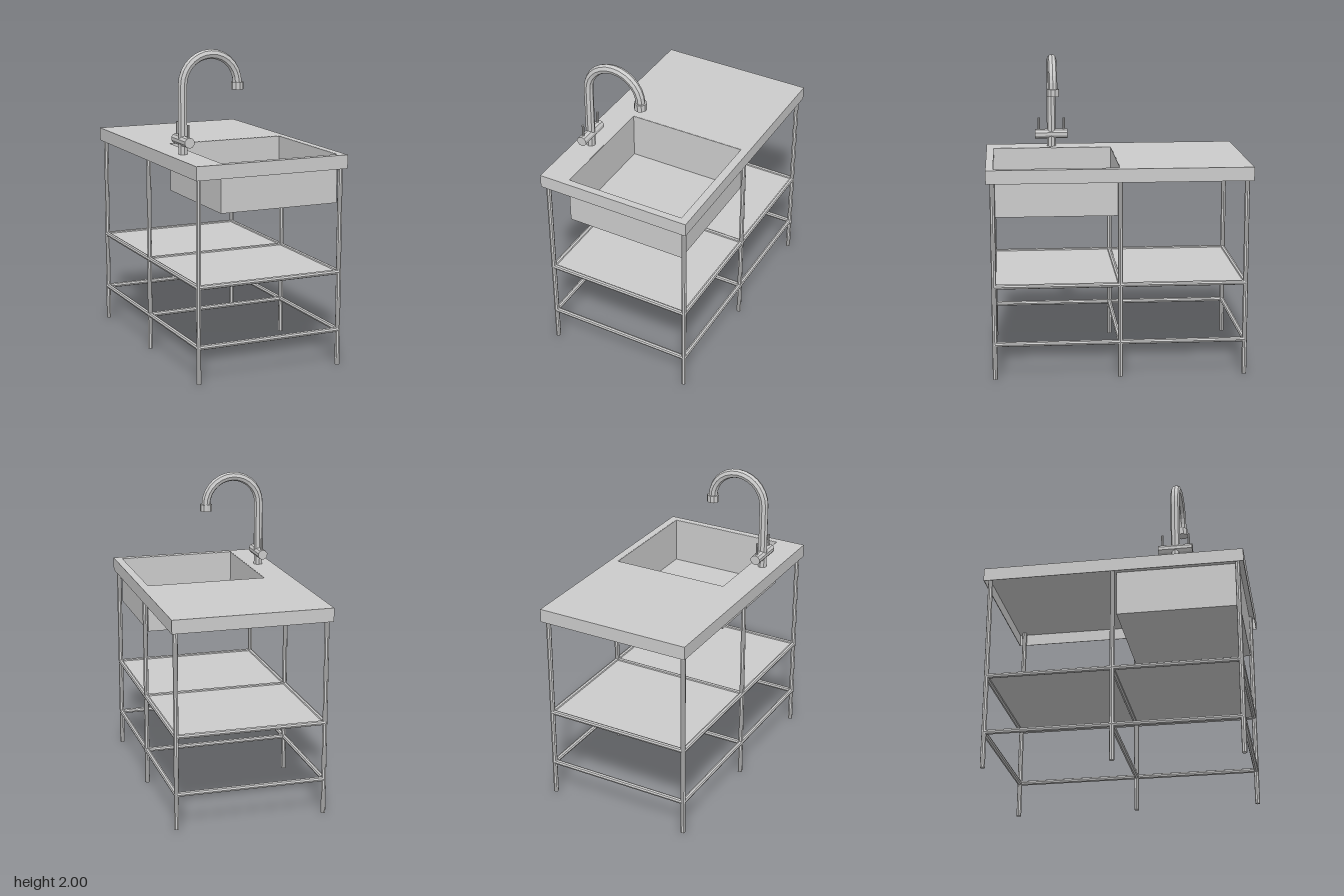
import * as THREE from 'three';

const grey = new THREE.MeshStandardMaterial({ color: 0xcccccc, flatShading: true, side: THREE.DoubleSide });

function add(parent, name, geometry, x = 0, y = 0, z = 0) {
  const mesh = new THREE.Mesh(geometry, grey);
  mesh.name = name;
  mesh.position.set(x, y, z);
  parent.add(mesh);
  return mesh;
}

// Round bar between two points
function bar(parent, name, a, b, radius, sides = 8) {
  const from = new THREE.Vector3(...a), to = new THREE.Vector3(...b);
  const dir = to.clone().sub(from);
  const mesh = add(parent, name, new THREE.CylinderGeometry(radius, radius, dir.length(), sides));
  mesh.position.copy(from).add(to).multiplyScalar(0.5);
  mesh.quaternion.setFromUnitVectors(new THREE.Vector3(0, 1, 0), dir.normalize());
  return mesh;
}

// Horizontal rectangular plate with a rectangular opening; rectangles are [x0, x1, z0, z1]
function frame(parent, name, outer, inner, y0, y1) {
  const trace = (path, [x0, x1, z0, z1]) =>
    path.moveTo(x0, -z0).lineTo(x1, -z0).lineTo(x1, -z1).lineTo(x0, -z1).closePath();
  const shape = trace(new THREE.Shape(), outer);
  shape.holes.push(trace(new THREE.Path(), inner));
  const geometry = new THREE.ExtrudeGeometry(shape, { depth: y1 - y0, bevelEnabled: false });
  geometry.rotateX(-Math.PI / 2);
  return add(parent, name, geometry, 0, y0, 0);
}

const inset = ([x0, x1, z0, z1], t) => [x0 + t, x1 - t, z0 + t, z1 - t];

export function createModel() {
  const model = new THREE.Group();
  model.name = 'sinkTable';

  // Worktop: thin top with a sink opening and a hollow underside
  const top = [-0.51, 0.51, -0.84, 0.84];
  const basin = [-0.33, 0.46, 0, 0.795];
  const worktop = new THREE.Group();
  worktop.name = 'worktop';
  model.add(worktop);
  frame(worktop, 'worktopSurface', top, basin, 1.35, 1.357);
  frame(worktop, 'worktopRim', top, inset(top, 0.004), 1.27, 1.35);

  // Sink basin
  const sink = new THREE.Group();
  sink.name = 'sink';
  model.add(sink);
  frame(sink, 'sinkWalls', basin, inset(basin, 0.003), 1.05, 1.356);
  add(sink, 'sinkFloor', new THREE.BoxGeometry(0.79, 0.004, 0.795), 0.065, 1.052, 0.3975);

  // Legs and rails
  const stand = new THREE.Group();
  stand.name = 'stand';
  model.add(stand);
  const lx = 0.48, lz = 0.8, r = 0.016;
  for (const x of [-lx, lx])
    for (const z of [-lz, 0, lz]) bar(stand, 'leg', [x, 0, z], [x, 1.35, z], r);
  for (const y of [0.23, 0.607]) {
    for (const x of [-lx, lx]) bar(stand, 'sideRail', [x, y, -lz], [x, y, lz], r);
    for (const z of [-lz, 0, lz]) bar(stand, 'crossRail', [-lx, y, z], [lx, y, z], r);
  }
  add(model, 'shelf', new THREE.BoxGeometry(2 * lx, 0.008, 2 * lz), 0, 0.607, 0);

  // Tap: upright with a half-circle neck
  const tap = new THREE.Group();
  tap.name = 'tap';
  tap.position.set(-0.41, 0, 0.4);
  model.add(tap);
  const R = 0.185, bendY = 1.785;
  bar(tap, 'tapColumn', [0, 1.35, 0], [0, bendY, 0], 0.03);
  const neck = new THREE.TorusGeometry(R, 0.03, 8, 14, Math.PI);
  add(tap, 'tapNeck', neck, R, bendY, 0);
  bar(tap, 'spoutCollar', [2 * R, 1.743, 0], [2 * R, 1.79, 0], 0.04, 10);

  // Cross valve with a lever at each end
  bar(tap, 'valveBody', [0, 1.441, -0.11], [0, 1.441, 0.11], 0.033, 10);
  for (const side of [-1, 1])
    bar(tap, 'lever', [0, 1.44, side * 0.085], [0, 1.55, side * 0.085], 0.008);

  return model;
}
